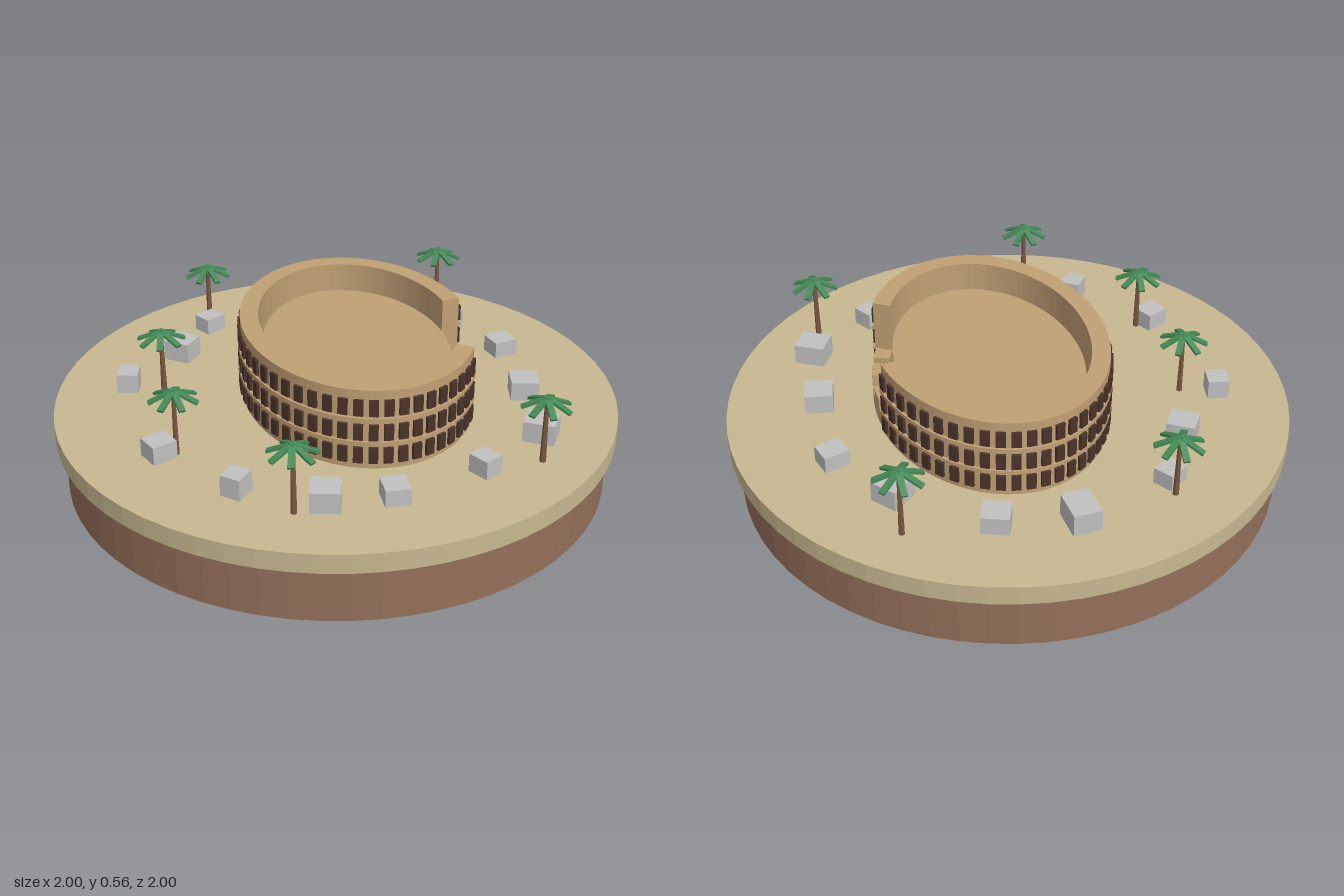
import * as THREE from 'three';

const mat = (name, color, flatShading = true) =>
  Object.assign(new THREE.MeshStandardMaterial({ color, flatShading }), { name });

export function createModel() {
  const model = new THREE.Group();
  model.name = 'amphitheatreIsland';
  const soil = mat('soil brown', 0x94705a);
  const sand = mat('sand', 0xc6b88f);
  const stone = mat('warm stone', 0xc1a074);
  const dark = mat('arch shadow', 0x49342a);
  const rock = mat('grey block', 0xc0c0c0);
  const bark = mat('bark', 0x7a5840);
  const leaf = mat('palm green', 0x448a57);

  const add = (parent, name, geometry, material, x = 0, y = 0, z = 0) => {
    const mesh = new THREE.Mesh(geometry, material);
    mesh.name = name;
    mesh.position.set(x, y, z);
    parent.add(mesh);
    return mesh;
  };

  // Ground: soil drum under a wider sand slab
  const GROUND = 0.27;
  add(model, 'soilBase', new THREE.CylinderGeometry(0.97, 0.97, 0.2, 64), soil, 0, 0.1, 0);
  add(model, 'sandSlab', new THREE.CylinderGeometry(1, 1, 0.07, 64), sand, 0, 0.235, 0);

  // Arena, turned on its oval axis
  const arena = new THREE.Group();
  arena.name = 'arena';
  arena.position.set(0.024, GROUND, -0.072);
  arena.rotation.y = -0.4;
  model.add(arena);

  const RAD = Math.PI / 180;
  const A = 0.54, B = 0.405, THICK = 0.065;
  const wallStart = -55 * RAD, wallEnd = 262 * RAD;

  // Curved oval wall between two angles, inset from the outer oval
  const ovalWall = (inset, thick, t0, t1, height) => {
    const n = Math.max(2, Math.ceil((t1 - t0) / (3.75 * RAD)));
    const pts = [];
    const point = (d, t) => new THREE.Vector2((A - d) * Math.cos(t), -(B - d) * Math.sin(t));
    for (let i = 0; i <= n; i++) pts.push(point(inset, t0 + ((t1 - t0) * i) / n));
    for (let i = n; i >= 0; i--) pts.push(point(inset + thick, t0 + ((t1 - t0) * i) / n));
    const geo = new THREE.ExtrudeGeometry(new THREE.Shape(pts), { depth: height, bevelEnabled: false });
    return geo.rotateX(-Math.PI / 2);
  };

  add(arena, 'outerWall', ovalWall(0, THICK, wallStart, wallEnd, 0.29), stone);
  for (const y of [0.092, 0.18])
    add(arena, 'ledge', ovalWall(-0.01, 0.012, wallStart, wallEnd, 0.012), stone, 0, y, 0);

  // Raised floor, a narrow slot away from the wall
  const floor = add(arena, 'arenaFloor', new THREE.CylinderGeometry(1, 1, 0.19, 96), stone, 0, 0.095, 0);
  floor.scale.set(0.459, 1, 0.324);

  // Broken section: uneven stumps of wall
  const stumps = [0.06, 0.1, 0.065, 0.11, 0.075, 0.1];
  const gapStart = wallEnd - 2 * Math.PI, step = (wallStart - gapStart) / stumps.length;
  stumps.forEach((h, i) =>
    add(arena, 'brokenWall', ovalWall(0.004, THICK - 0.004, gapStart + i * step, gapStart + (i + 1) * step, h), stone));

  // Three tiers of dark openings facing along the oval's normal
  const opening = new THREE.BoxGeometry(0.032, 0.058, 0.02);
  const COUNT = 52;
  for (let i = 0; i < COUNT; i++) {
    const t = wallStart + ((i + 0.5) * 2 * Math.PI) / COUNT;
    if (t > wallEnd - 0.03) break;
    for (const y of [0.052, 0.138, 0.228]) {
      const w = add(arena, 'archOpening', opening, dark, A * Math.cos(t), y, B * Math.sin(t));
      w.rotation.y = Math.atan2(B * Math.cos(t), A * Math.sin(t));
    }
  }

  // Scattered blocks: x, z, width, depth, height, turn in degrees
  const blocks = [
    [-0.18, -0.66, 0.1, 0.105, 0.075, 14], [0.1, -0.7, 0.082, 0.092, 0.06, -10],
    [0.4, -0.54, 0.1, 0.1, 0.07, -36], [0.66, -0.38, 0.11, 0.1, 0.075, 35],
    [0.715, -0.08, 0.08, 0.075, 0.065, 6], [0.67, 0.26, 0.09, 0.085, 0.06, -25],
    [0.57, 0.46, 0.1, 0.1, 0.075, -38], [0.34, 0.645, 0.072, 0.08, 0.075, 25],
    [0, 0.73, 0.085, 0.09, 0.065, 0], [-0.48, 0.575, 0.08, 0.075, 0.07, -37],
    [-0.58, 0.29, 0.1, 0.092, 0.075, 30], [-0.72, 0.08, 0.075, 0.085, 0.06, 8],
    [-0.675, -0.285, 0.12, 0.098, 0.08, -22], [-0.51, -0.5, 0.095, 0.09, 0.065, 43],
  ];
  for (const [x, z, w, d, h, turn] of blocks)
    add(model, 'stoneBlock', new THREE.BoxGeometry(w, h, d), rock, x, GROUND + h / 2, z).rotation.y = turn * RAD;

  // Palms: thin tapered trunk with seven drooping fronds
  const frond = new THREE.BoxGeometry(0.094, 0.009, 0.022).translate(0.045, 0, 0).rotateZ(-0.42);
  const palms = [
    [-0.34, -0.75, 0.25], [0.78, -0.275, 0.235], [-0.78, 0.045, 0.228],
    [-0.385, 0.485, 0.235], [0.02, 0.675, 0.235], [0.545, 0.565, 0.245],
  ];
  palms.forEach(([x, z, h], k) => {
    const palm = new THREE.Group();
    palm.name = 'palm';
    palm.position.set(x, GROUND, z);
    palm.rotation.y = k * 1.3;
    model.add(palm);
    add(palm, 'trunk', new THREE.CylinderGeometry(0.007, 0.011, h, 6), bark, 0, h / 2, 0);
    for (let i = 0; i < 7; i++)
      add(palm, 'frond', frond, leaf, 0, h + 0.006, 0).rotation.y = (i * 2 * Math.PI) / 7;
  });

  return model;
}
